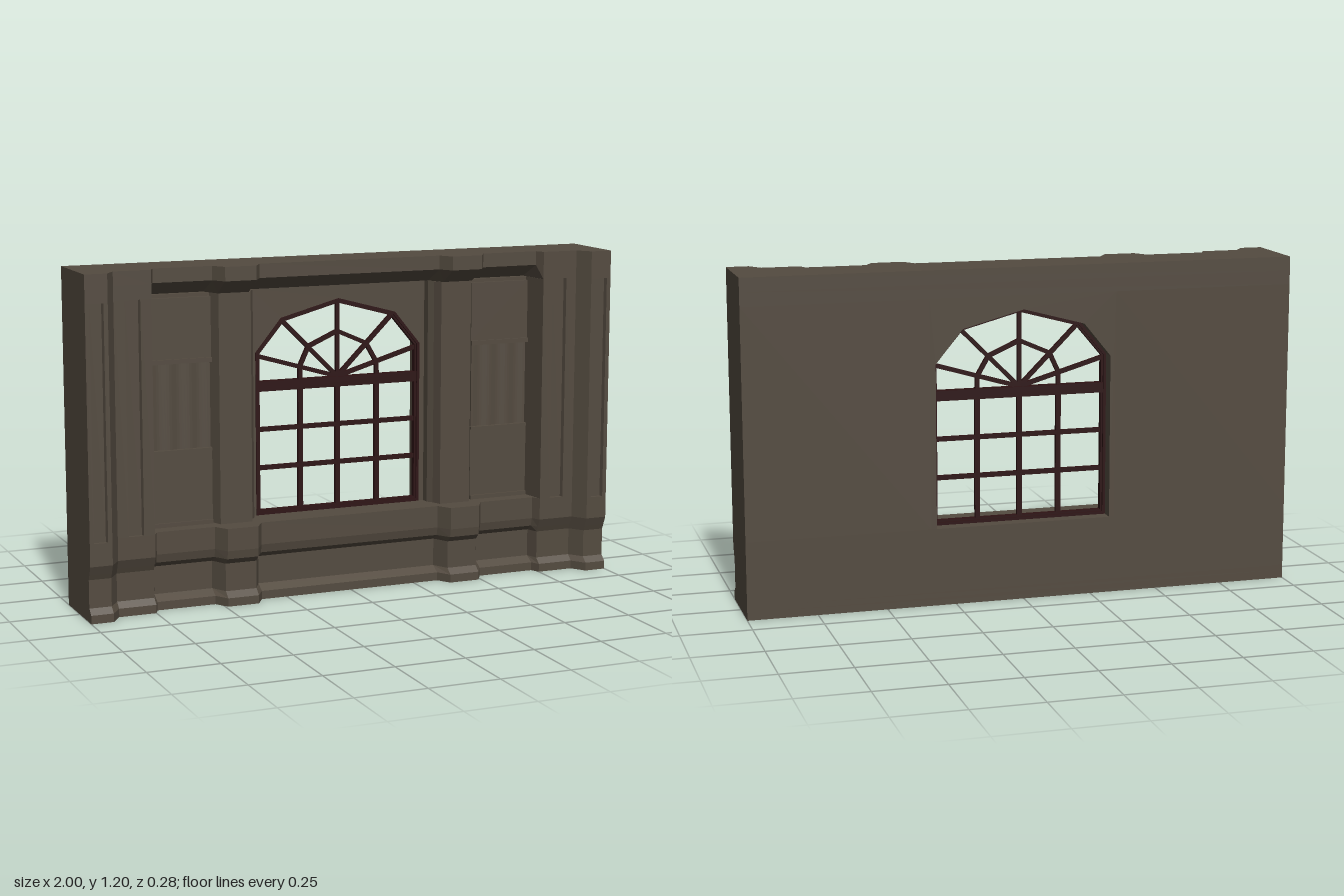
import * as THREE from 'three';

const stone = new THREE.MeshStandardMaterial({ color: 0x544b40, flatShading: true });
const wood = new THREE.MeshStandardMaterial({ color: 0x2d1213, flatShading: true });
const BACK = -0.14;     // rear face of the wall
const WALL = -0.062;    // wall face around the window
const BAY = -0.022;     // face of the panelled bays
const SHAFT = 0.025;    // face of the pilasters

function named(geo, mat, name) {
  const m = new THREE.Mesh(geo, mat);
  m.name = name;
  return m;
}

// Closed solid through stacked plan outlines: levels = [[y, [[x, z], ...]], ...]
function loft(levels) {
  const pos = [];
  const rings = levels.map(([y, pts]) => {
    const v = pts.map(([x, z]) => new THREE.Vector2(x, z));
    if (THREE.ShapeUtils.area(v) < 0) v.reverse();
    return { y, v };
  });
  const put = (r, i) => pos.push(r.v[i].x, r.y, r.v[i].y);
  for (let k = 0; k + 1 < rings.length; k++) {
    const a = rings[k], b = rings[k + 1], n = a.v.length;
    for (let i = 0; i < n; i++) {
      const j = (i + 1) % n;
      put(a, i); put(b, i); put(b, j);
      put(a, i); put(b, j); put(a, j);
    }
  }
  const bottom = rings[0], top = rings[rings.length - 1];
  for (const [i, j, k] of THREE.ShapeUtils.triangulateShape(bottom.v, [])) {
    put(bottom, i); put(bottom, j); put(bottom, k);
  }
  for (const [i, j, k] of THREE.ShapeUtils.triangulateShape(top.v, [])) {
    put(top, k); put(top, j); put(top, i);
  }
  const g = new THREE.BufferGeometry();
  g.setAttribute('position', new THREE.Float32BufferAttribute(pos, 3));
  g.computeVertexNormals();
  return g;
}

// Full-width plan: corner offset c, pilaster depth p, bay depth b
function plan(c, p, b) {
  const half = [
    [1, BACK], [1, 0.14 + c], [0.92, 0.14 + c], [0.885, 0.088 + c], [0.75, 0.088 + c],
    [0.735, b], [0.52, b], [0.49, p], [0.375, p], [0.345, b],
  ];
  return [...half, ...half.map(([x, z]) => [-x, z]).reverse()];
}

// Sunken strip between x1 and x0 in a face at depth z
const groove = (x1, x0, z) => [
  [x1, z], [x1 - 0.004, z - 0.014], [x0 + 0.004, z - 0.014], [x0, z],
];

function box(x, y, z, w, h, d, mat, name) {
  const m = named(new THREE.BoxGeometry(w, h, d), mat, name);
  m.position.set(x, y, z);
  return m;
}

// Straight glazing bar between two points in the window plane
function bar(a, b, w, name) {
  const dx = b[0] - a[0], dy = b[1] - a[1];
  const m = box((a[0] + b[0]) / 2, (a[1] + b[1]) / 2, -0.075,
    Math.hypot(dx, dy) + w * 0.4, w, 0.014, wood, name);
  m.rotation.z = Math.atan2(dy, dx);
  return m;
}

// Opening outline, inset by t
const arch = (t) => [
  [0.32 - t, 0.28 + t], [0.32 - t, 0.87 - t * 0.3], [0.222 - t * 0.75, 0.99 - t * 0.8],
  [0, 1.05 - t], [-0.222 + t * 0.75, 0.99 - t * 0.8], [-0.32 + t, 0.87 - t * 0.3],
  [-0.32 + t, 0.28 + t],
];
const toVec = (pts) => pts.map(([x, y]) => new THREE.Vector2(x, y));

function extrude(shape, z0, z1) {
  const g = new THREE.ExtrudeGeometry(shape, { depth: z1 - z0, bevelEnabled: false });
  return g.translate(0, 0, z0);
}

function windowUnit() {
  const w = new THREE.Group();
  w.name = 'window';
  // stepped outer frame
  for (const [t0, t1, z0, z1] of [[0, 0.01, -0.092, -0.058], [0.008, 0.017, -0.085, -0.065]]) {
    const s = new THREE.Shape(toVec(arch(t0)));
    s.holes.push(new THREE.Path(toVec(arch(t1))));
    w.add(named(extrude(s, z0, z1), wood, 'windowFrame'));
  }
  w.add(box(0, 0.747, -0.075, 0.62, 0.036, 0.03, wood, 'transom'));
  for (const x of [-0.145, 0, 0.155]) w.add(bar([x, 0.29], [x, 0.74], 0.018, 'uprightBar'));
  for (const y of [0.45, 0.59]) w.add(bar([-0.31, y], [0.31, y], 0.016, 'crossBar'));
  // fanlight
  const hub = [0, 0.765];
  const tips = [[-0.305, 0.855], [-0.215, 0.98], [0, 1.04], [0.215, 0.98], [0.305, 0.855]];
  for (const t of tips) w.add(bar(hub, t, 0.015, 'fanSpoke'));
  const ring = [[-0.145, 0.765], [-0.145, 0.811], [-0.113, 0.88], [0, 0.93],
    [0.113, 0.88], [0.153, 0.811], [0.155, 0.765]];
  for (let i = 0; i < 6; i++) w.add(bar(ring[i], ring[i + 1], 0.015, 'fanRing'));
  return w;
}

// Panelled side wall with corner pier and pilaster; s = +1 left, -1 right
function sideWall(s) {
  const g = new THREE.Group();
  g.name = s > 0 ? 'leftWall' : 'rightWall';
  const outline = [
    [1, BACK], [1, 0.14], ...groove(0.985, 0.935, 0.14), [0.92, 0.14], [0.885, 0.088],
    ...groove(0.845, 0.79, 0.088), [0.75, 0.088], [0.735, BAY], [0.505, BAY],
    [0.487, SHAFT], [0.368, SHAFT], [0.355, -0.01], [0.34, -0.03], [0.34, BACK],
  ].map(([x, z]) => [s * x, z]);
  g.add(named(loft([[0.28, outline], [1.1, outline]]), stone, 'pierAndPilaster'));

  // bay panels and rails
  const x = s * 0.62;
  g.add(box(x, 0.98, BAY, 0.23, 0.215, 0.03, stone, 'upperPanel'));
  g.add(box(x, 0.42, BAY, 0.23, 0.255, 0.03, stone, 'lowerPanel'));
  g.add(box(x, 0.866, BAY, 0.23, 0.016, 0.046, stone, 'upperRail'));
  g.add(box(x, 0.548, BAY, 0.23, 0.01, 0.04, stone, 'middleRail'));
  g.add(box(x, 0.287, BAY, 0.23, 0.016, 0.046, stone, 'lowerRail'));
  // shallow folds in the middle panel
  const folds = [];
  for (let i = 0; i <= 24; i++) {
    const u = i / 24;
    folds.push([s * (0.51 + 0.222 * u), BAY + 0.005 + 0.003 * Math.cos(u * Math.PI * 6)]);
  }
  const strip = [[s * 0.51, BAY - 0.02], ...folds, [s * 0.732, BAY - 0.02]];
  g.add(named(loft([[0.55, strip], [0.86, strip]]), stone, 'foldedPanel'));
  return g;
}

export function createModel() {
  const model = new THREE.Group();
  model.name = 'windowWall';

  // plinth: foot moulding, recessed dado, projecting flat ledge
  model.add(named(loft([
    [0, plan(0, 0.105, 0.055)],
    [0.03, plan(0, 0.105, 0.055)],
    [0.05, plan(-0.022, 0.08, 0.02)],
    [0.15, plan(-0.022, 0.08, 0.02)],
    [0.17, plan(-0.013, 0.1, 0.048)],
    [0.2, plan(0, 0.105, 0.055)],
    [0.28, plan(0, 0.105, 0.055)],
  ]), stone, 'plinth'));

  // wall around the arched opening
  const surround = new THREE.Shape(toVec([
    [0.34, 0.28], [0.34, 1.1], [-0.34, 1.1], [-0.34, 0.28], ...arch(0).reverse(),
  ]));
  model.add(named(extrude(surround, BACK, WALL), stone, 'windowSurround'));

  model.add(sideWall(1), sideWall(-1));

  // cornice
  model.add(named(loft([
    [1.1, plan(0, SHAFT, -0.045)],
    [1.15, plan(0, 0.105, 0.055)],
    [1.2, plan(0, 0.105, 0.055)],
  ]), stone, 'cornice'));

  model.add(windowUnit());
  return model;
}
